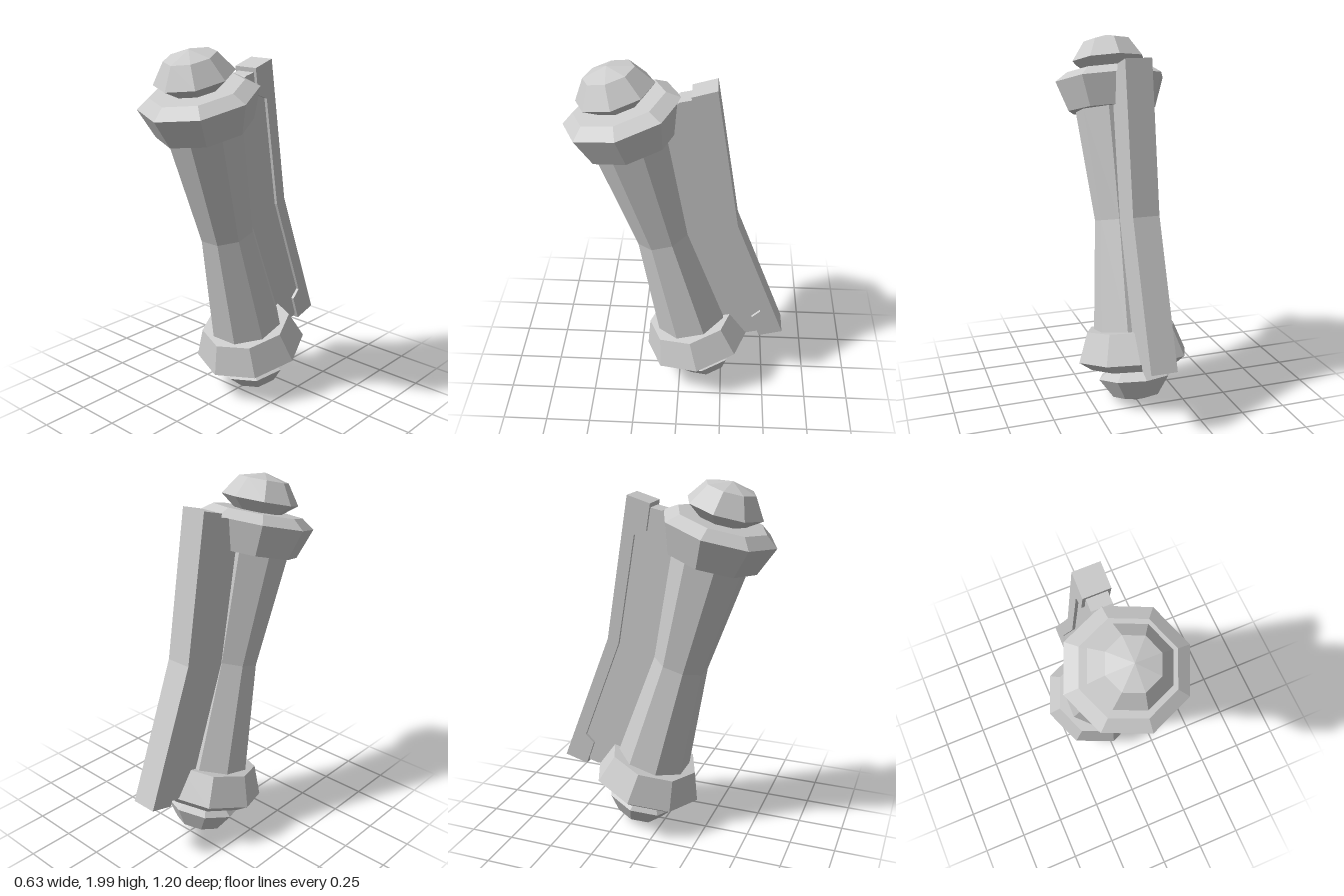
import * as THREE from 'three';

const grey = () => new THREE.MeshStandardMaterial({ color: 0xcccccc, flatShading: true });

// Eight-sided turned part; profile is [radius, height], bottom to top
function turned(name, profile, turn = 0) {
  const points = profile.map(([r, y]) => new THREE.Vector2(r, y));
  const mesh = new THREE.Mesh(new THREE.LatheGeometry(points, 8, turn), grey());
  mesh.name = name;
  return mesh;
}

// Flat plate centred on x; outline is [z, y]
function plate(name, outline, width) {
  const shape = new THREE.Shape(outline.map(([z, y]) => new THREE.Vector2(-z, y)));
  const geometry = new THREE.ExtrudeGeometry(shape, { depth: width, bevelEnabled: false });
  geometry.translate(0, 0, -width / 2).rotateY(Math.PI / 2);
  const mesh = new THREE.Mesh(geometry, grey());
  mesh.name = name;
  return mesh;
}

export function createModel() {
  const model = new THREE.Group();
  model.name = 'leaningGrip';

  // Leaning turned handle
  const handle = new THREE.Group();
  handle.name = 'handle';
  handle.position.set(0, 1.003, 0.093);
  handle.rotation.x = THREE.MathUtils.degToRad(15);
  model.add(handle);

  // Waisted shaft with a flat face to the front
  handle.add(turned('shaft', [[0.211, -0.64], [0.1515, 0], [0.211, 0.64]], Math.PI / 8));

  // Matching collar and knob at each end
  for (const [name, flip] of [['upper', 0], ['lower', Math.PI]]) {
    const end = new THREE.Group();
    end.name = name + 'End';
    end.rotation.z = flip;
    end.add(turned('collar', [[0, 0.615], [0.255, 0.615], [0.315, 0.779], [0.245, 0.828], [0, 0.828]]));
    end.add(turned('knob', [[0.12, 0.82], [0.209, 0.888], [0.135, 0.995], [0, 1.03]]));
    handle.add(end);
  }

  // Narrow web joining the shaft to the back strip
  model.add(plate('web', [
    [-0.07, 1.853], [0, 1.838], [0.25, 1.65], [0.09, 1], [-0.09, 0.41], [-0.4, 0.33],
    [-0.455, 0.345], [-0.45, 0.46], [-0.49, 0.51], [-0.27, 1.1], [-0.17, 1.72], [-0.1, 1.75],
  ], 0.11));

  // Bent back strip with a hooked lip at each end
  model.add(plate('backStrip', [
    [-0.058, 1.875], [-0.186, 1.912], [-0.313, 1.117], [-0.6, 0.363], [-0.467, 0.326],
    [-0.419, 0.464], [-0.467, 0.512], [-0.249, 1.095], [-0.149, 1.706], [-0.08, 1.732],
  ], 0.144));

  return model;
}
